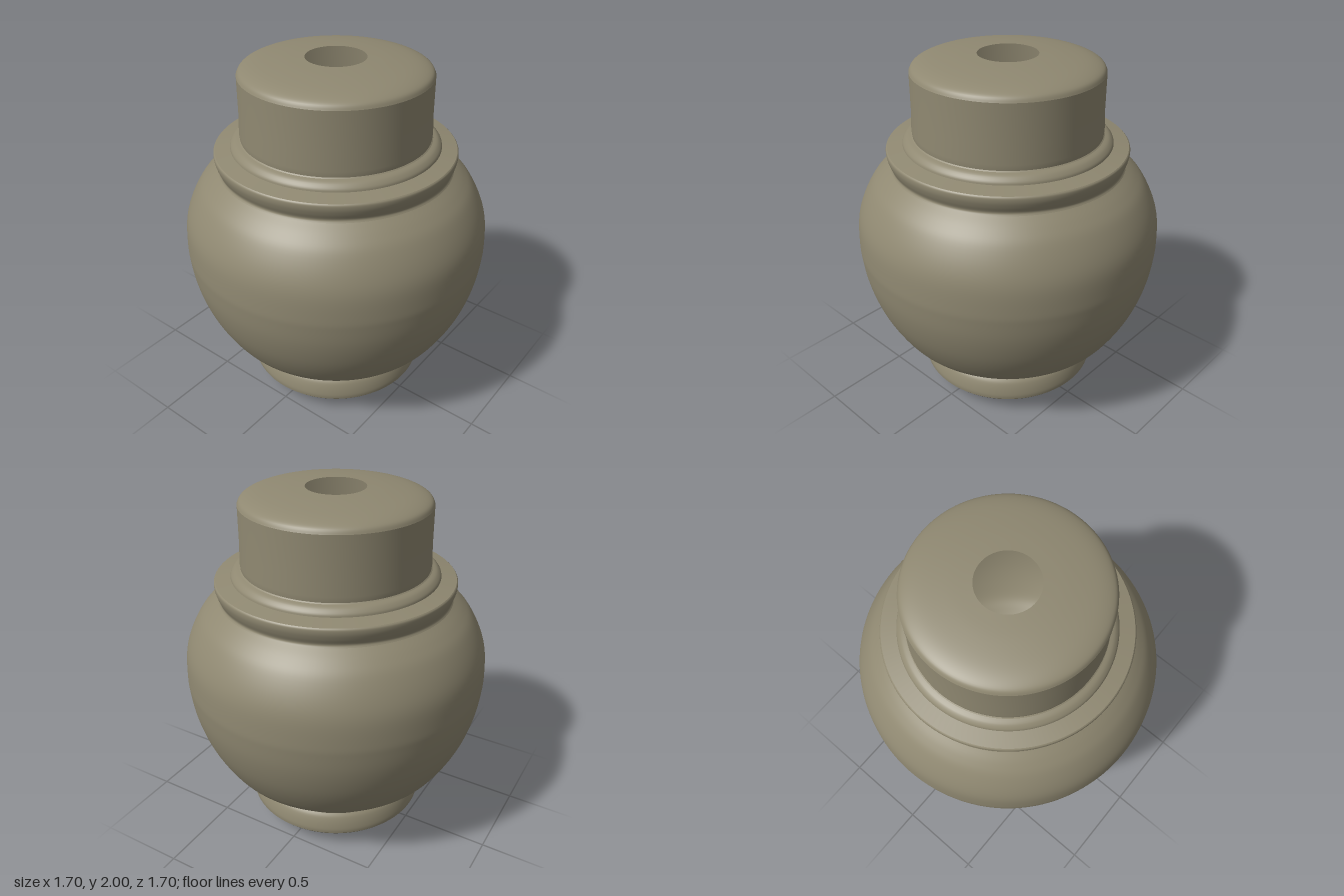
import * as THREE from 'three';

const stoneware = new THREE.MeshStandardMaterial({ color: 0x8f8871, side: THREE.DoubleSide });
stoneware.name = 'stoneware';

// Revolve [radius, height] points listed from bottom to top; smooth ones pass through a spline
function turned(name, points, divisions = 0) {
  let profile = points.map(([r, y]) => new THREE.Vector2(r, y));
  if (divisions) profile = new THREE.SplineCurve(profile).getPoints(divisions);
  const mesh = new THREE.Mesh(new THREE.LatheGeometry(profile, 128), stoneware);
  mesh.name = name;
  return mesh;
}

export function createModel() {
  const group = new THREE.Group();
  group.name = 'jar';

  group.add(
    // Underside with a drain hole
    turned('base', [[0.12, 0], [0.2, 0.014], [0.34, 0.03], [0.44, 0.055], [0.49, 0.08], [0.515, 0.105]], 20),
    // Rounded foot, narrowing into the waist
    turned('foot', [[0.515, 0.105], [0.516, 0.13], [0.508, 0.17], [0.495, 0.205], [0.48, 0.225]], 16),
    // Bulging belly
    turned('belly', [
      [0.48, 0.225], [0.492, 0.245], [0.54, 0.29], [0.605, 0.345], [0.67, 0.405], [0.73, 0.5], [0.778, 0.6],
      [0.812, 0.7], [0.835, 0.8], [0.847, 0.9], [0.85, 0.97], [0.841, 1.1], [0.81, 1.2], [0.755, 1.3],
      [0.7, 1.36], [0.645, 1.405],
    ], 75),
    // Flared collar and its stepped shoulder
    turned('collar', [[0.645, 1.405], [0.638, 1.42], [0.65, 1.45], [0.659, 1.48], [0.66, 1.505], [0.653, 1.515]], 20),
    turned('collarTop', [[0.653, 1.515], [0.57, 1.53]]),
    turned('shoulderStep', [[0.57, 1.53], [0.565, 1.545], [0.545, 1.565], [0.52, 1.575]], 10),
    turned('shoulderTop', [[0.52, 1.575], [0.514, 1.58]]),
    // Straight neck and domed top with an open mouth
    turned('neck', [[0.514, 1.58], [0.517, 1.61], [0.512, 1.7], [0.511, 1.92]]),
    turned('top', [[0.511, 1.92], [0.495, 1.945], [0.45, 1.965], [0.38, 1.98], [0.27, 1.993], [0.16, 2]], 24),
  );
  return group;
}
